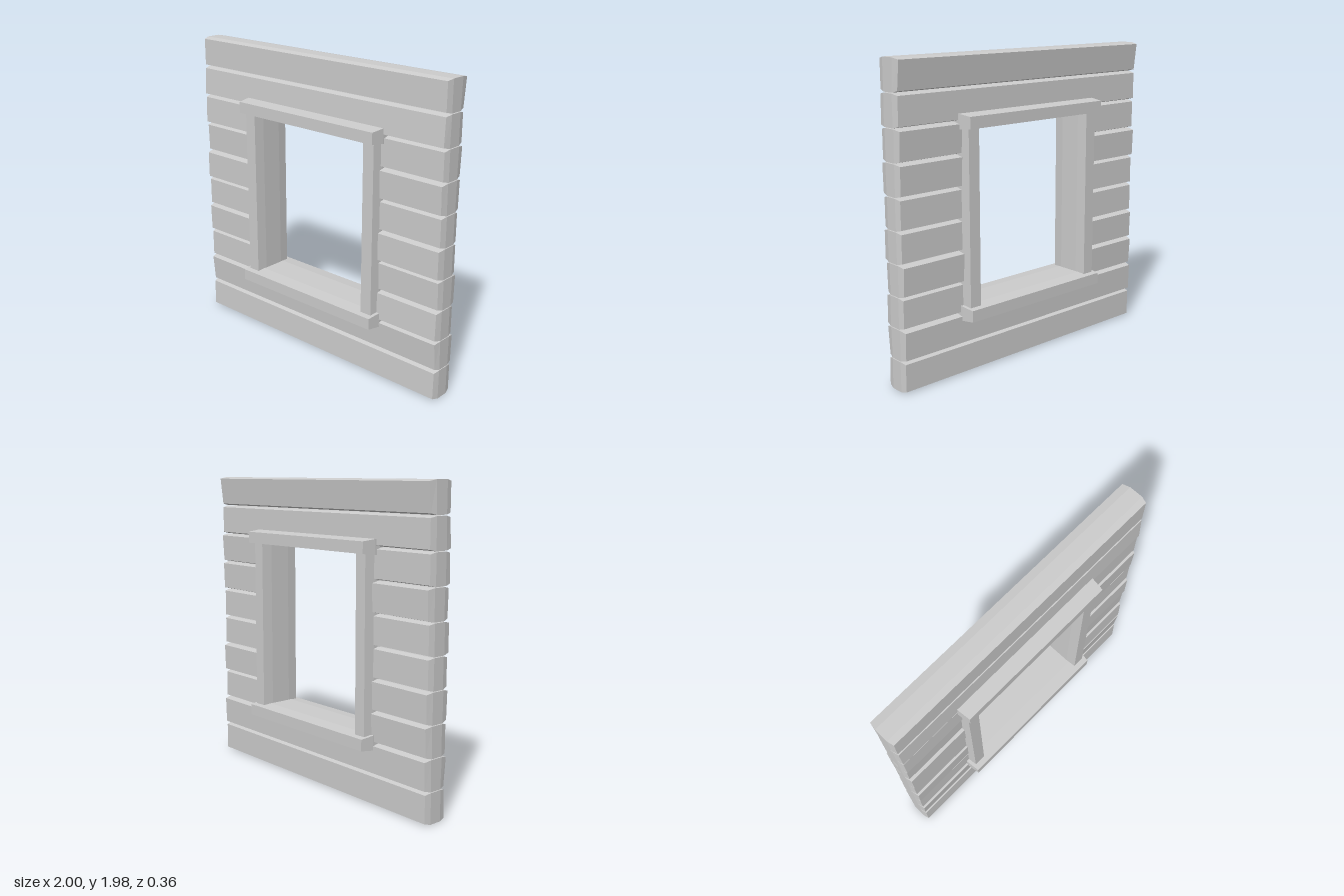
import * as THREE from 'three';

const material = new THREE.MeshStandardMaterial({ color: 0xcccccc, flatShading: true });

// Beam whose front and back faces are inset; z = [front bottom, front top, back bottom, back top]
function beam(name, x0, x1, y0, y1, z, inset = 0.01) {
  const w = x1 - x0, h = y1 - y0;
  const geometry = new THREE.BoxGeometry(w, h, 2, 1, 1, 4);
  const p = geometry.attributes.position;
  for (let i = 0; i < p.count; i++) {
    const sx = Math.sign(p.getX(i)), sy = Math.sign(p.getY(i)), t = p.getZ(i);
    const e = Math.abs(t) > 0.9 ? inset : 0;
    const front = sy > 0 ? z[1] : z[0], back = sy > 0 ? z[3] : z[2];
    p.setXYZ(i,
      (x0 + x1) / 2 + sx * (w / 2 - e),
      (y0 + y1) / 2 + sy * (h / 2 - e),
      t > 0 ? t * front : -t * back);
  }
  geometry.computeVertexNormals();
  const mesh = new THREE.Mesh(geometry, material);
  mesh.name = name;
  return mesh;
}

// Slightly uneven faces of each plank, bottom row first
const planks = [
  [0.085, 0.08, -0.08, -0.08],
  [0.075, 0.09, -0.085, -0.09],
  [0.09, 0.085, -0.075, -0.075],
  [0.075, 0.08, -0.085, -0.09],
  [0.09, 0.09, -0.075, -0.075],
  [0.08, 0.08, -0.075, -0.075],
  [0.085, 0.09, -0.08, -0.085],
  [0.08, 0.08, -0.08, -0.09],
  [0.09, 0.08, -0.08, -0.08],
  [0.08, 0.08, -0.08, -0.1],
];

export function createModel() {
  const model = new THREE.Group();
  model.name = 'plankWallWithWindow';

  // Wall: full planks above and below the opening, short ones beside it
  const wall = new THREE.Group();
  wall.name = 'wall';
  const pitch = 0.198, height = 0.193;
  planks.forEach((z, row) => {
    const y0 = 0.003 + row * pitch, y1 = y0 + height;
    if (row < 2 || row > 7) {
      wall.add(beam('fullPlank', -0.998, 0.998, y0, y1, z));
    } else {
      wall.add(beam('leftPlank', 0.5, 0.998, y0, y1, z));
      wall.add(beam('rightPlank', -0.998, -0.5, y0, y1, planks[9 - row]));
    }
  });
  model.add(wall);

  // Window frame: two posts between a sill and a lintel
  const frame = new THREE.Group();
  frame.name = 'windowFrame';
  const post = [0.14, 0.14, -0.14, -0.14], rail = [0.178, 0.178, -0.178, -0.178];
  frame.add(
    beam('leftPost', 0.45, 0.545, 0.43, 1.56, post, 0.008),
    beam('rightPost', -0.545, -0.45, 0.43, 1.56, post, 0.008),
    beam('sill', -0.565, 0.565, 0.357, 0.45, rail),
    beam('lintel', -0.565, 0.565, 1.54, 1.633, rail),
  );
  model.add(frame);
  return model;
}
